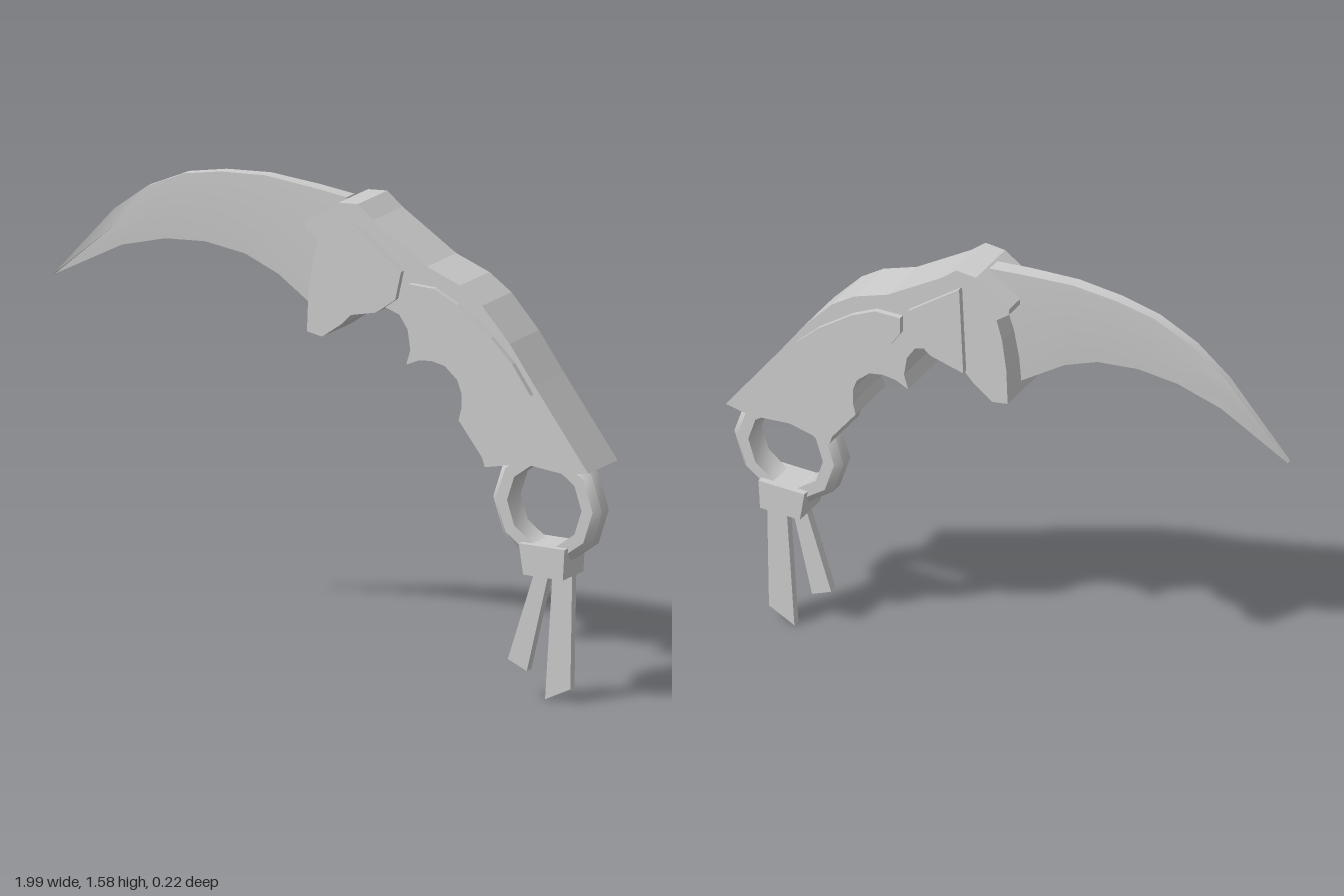
import * as THREE from 'three';
import { toCreasedNormals } from 'three/addons/utils/BufferGeometryUtils.js';

const steel = new THREE.MeshStandardMaterial({ color: 0xcccccc });
steel.name = 'plain grey';

// Flat plate with the given xy outline, filling z0..z1
function plate(name, outline, z0, z1) {
  const shape = new THREE.Shape(outline.map(([x, y]) => new THREE.Vector2(x, y)));
  const geo = new THREE.ExtrudeGeometry(shape, { depth: z1 - z0, bevelEnabled: false });
  geo.translate(0, 0, z0);
  const mesh = new THREE.Mesh(geo, steel);
  mesh.name = name;
  return mesh;
}

// Curved blade: cross-sections from tip to guard, thick spine and thin edge
function makeBlade() {
  // spine x, spine y, edge x, edge y, half thickness
  const sections = [
    [-1, 1.155, -1, 1.15, 0.008],
    [-0.78, 1.395, -0.757, 1.278, 0.012],
    [-0.66, 1.485, -0.6, 1.32, 0.015],
    [-0.525, 1.545, -0.456, 1.33, 0.017],
    [-0.39, 1.57, -0.31, 1.31, 0.019],
    [-0.23, 1.58, -0.19, 1.26, 0.021],
    [-0.055, 1.565, -0.03, 1.15, 0.024],
    [0.07, 1.55, 0.03, 1.13, 0.025],
  ];
  const pos = [], index = [], n = 6;
  for (const [sx, sy, ex, ey, t] of sections) {
    const ring = [[0, t], [0.4, t * 0.9], [1, 0.004], [1, -0.004], [0.4, -t * 0.9], [0, -t]];
    for (const [f, z] of ring) pos.push(sx + (ex - sx) * f, sy + (ey - sy) * f, z);
  }
  for (let i = 0; i < sections.length - 1; i++) {
    for (let k = 0; k < n; k++) {
      const a = i * n + k, d = i * n + (k + 1) % n;
      index.push(a, d, a + n, d, d + n, a + n);
    }
  }
  const geo = new THREE.BufferGeometry();
  geo.setAttribute('position', new THREE.Float32BufferAttribute(pos, 3));
  geo.setIndex(index);
  const mesh = new THREE.Mesh(toCreasedNormals(geo, 0.7), steel);
  mesh.name = 'blade';
  return mesh;
}

// Ten-sided finger ring with chamfered outer rim
function makeRing() {
  const profile = [
    [0.135, -0.043], [0.175, -0.043], [0.197, -0.022], [0.197, 0.022],
    [0.175, 0.043], [0.135, 0.043], [0.135, -0.043],
  ].map(([r, y]) => new THREE.Vector2(r, y));
  const geo = new THREE.LatheGeometry(profile, 10, Math.PI / 2);
  geo.rotateX(Math.PI / 2);
  const mesh = new THREE.Mesh(toCreasedNormals(geo, 0.68), steel);
  mesh.position.set(0.797, 0.648, 0);
  mesh.name = 'fingerRing';
  return mesh;
}

export function createModel() {
  const model = new THREE.Group();
  model.name = 'curvedKnife';
  model.add(makeBlade());

  // Handle with guard, back curve and finger grooves
  model.add(plate('handle', [
    [0.08, 1.55], [0.15, 1.555], [0.205, 1.51], [0.4, 1.385], [0.52, 1.34], [0.6, 1.285],
    [0.7, 1.175], [0.79, 1.05], [0.985, 0.79], [0.9, 0.775], [0.755, 0.79], [0.61, 0.76],
    [0.6, 0.79], [0.515, 0.9], [0.525, 0.94], [0.525, 0.99], [0.51, 1.03], [0.465, 1.07],
    [0.415, 1.08], [0.37, 1.075], [0.325, 1.055], [0.34, 1.105], [0.33, 1.17], [0.3, 1.215],
    [0.24, 1.235], [0.215, 1.21], [0.125, 1.19], [0.09, 1.155], [0.02, 1.105], [-0.035, 1.115],
    [-0.03, 1.24], [-0.015, 1.345], [0.005, 1.415], [-0.04, 1.45], [-0.04, 1.47],
  ], -0.093, 0.093));

  // Raised grip panels, showing on both sides
  model.add(plate('frontGripPanel', [
    [0.13, 1.5], [0.317, 1.36], [0.296, 1.267], [0.232, 1.22], [0.115, 1.192],
  ], -0.112, 0.112));
  model.add(plate('rearGripPanel', [
    [0.344, 1.325], [0.435, 1.322], [0.52, 1.28], [0.643, 1.19], [0.72, 1.115], [0.787, 1.02],
    [0.707, 1.02], [0.53, 1.085], [0.467, 1.15], [0.38, 1.213], [0.344, 1.267],
  ], -0.112, 0.112));

  // Ring, knot and two hanging straps
  model.add(makeRing());
  model.add(plate('knot', [
    [0.717, 0.52], [0.883, 0.52], [0.877, 0.42], [0.733, 0.42],
  ], -0.065, 0.065));
  model.add(plate('shortStrap', [
    [0.765, 0.44], [0.815, 0.44], [0.733, 0.1], [0.664, 0.13],
  ], 0.013, 0.042));
  model.add(plate('longStrap', [
    [0.797, 0.44], [0.867, 0.44], [0.86, 0.045], [0.768, 0],
  ], -0.038, -0.012));
  return model;
}
